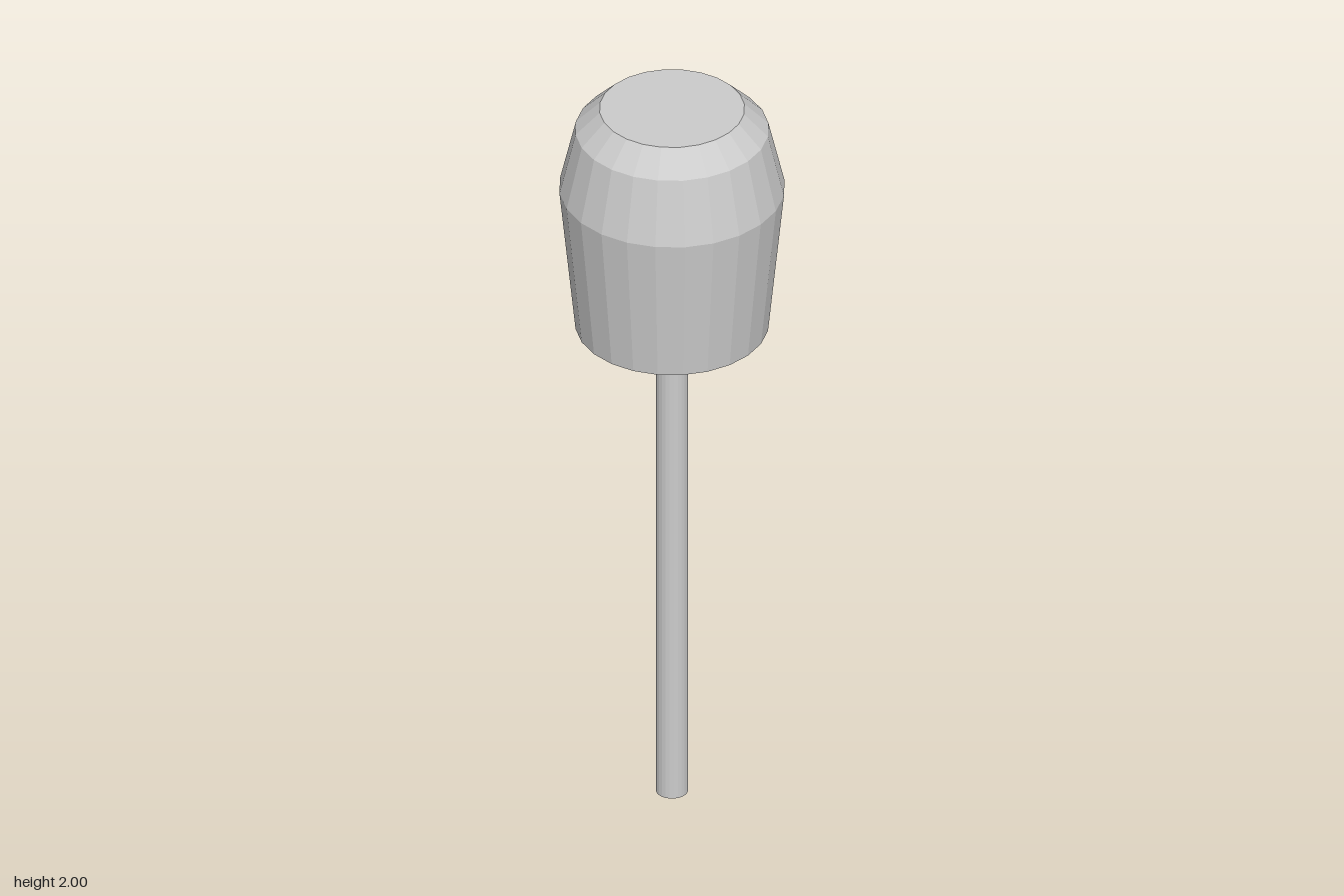
import * as THREE from 'three';

const SIDES = 24;

export function createModel() {
  const group = new THREE.Group();
  const material = new THREE.MeshStandardMaterial({ color: 0xcccccc, flatShading: true });

  // Turn a [radius, height] profile, listed bottom to top, around the y axis
  const addTurned = (name, profile) => {
    const points = profile.map(([r, y]) => new THREE.Vector2(r, y));
    const mesh = new THREE.Mesh(new THREE.LatheGeometry(points, SIDES), material);
    mesh.name = name;
    group.add(mesh);
  };

  // Slim straight shaft with a closed foot
  addTurned('shaft', [[0, 0], [0.04, 0], [0.04, 1.29]]);

  // Faceted head: conical underside, flared body, bevelled shoulder, flat top
  addTurned('head', [
    [0.04, 1.29], [0.24, 1.37], [0.28, 1.77], [0.24, 1.94], [0.18, 2], [0, 2],
  ]);

  return group;
}
